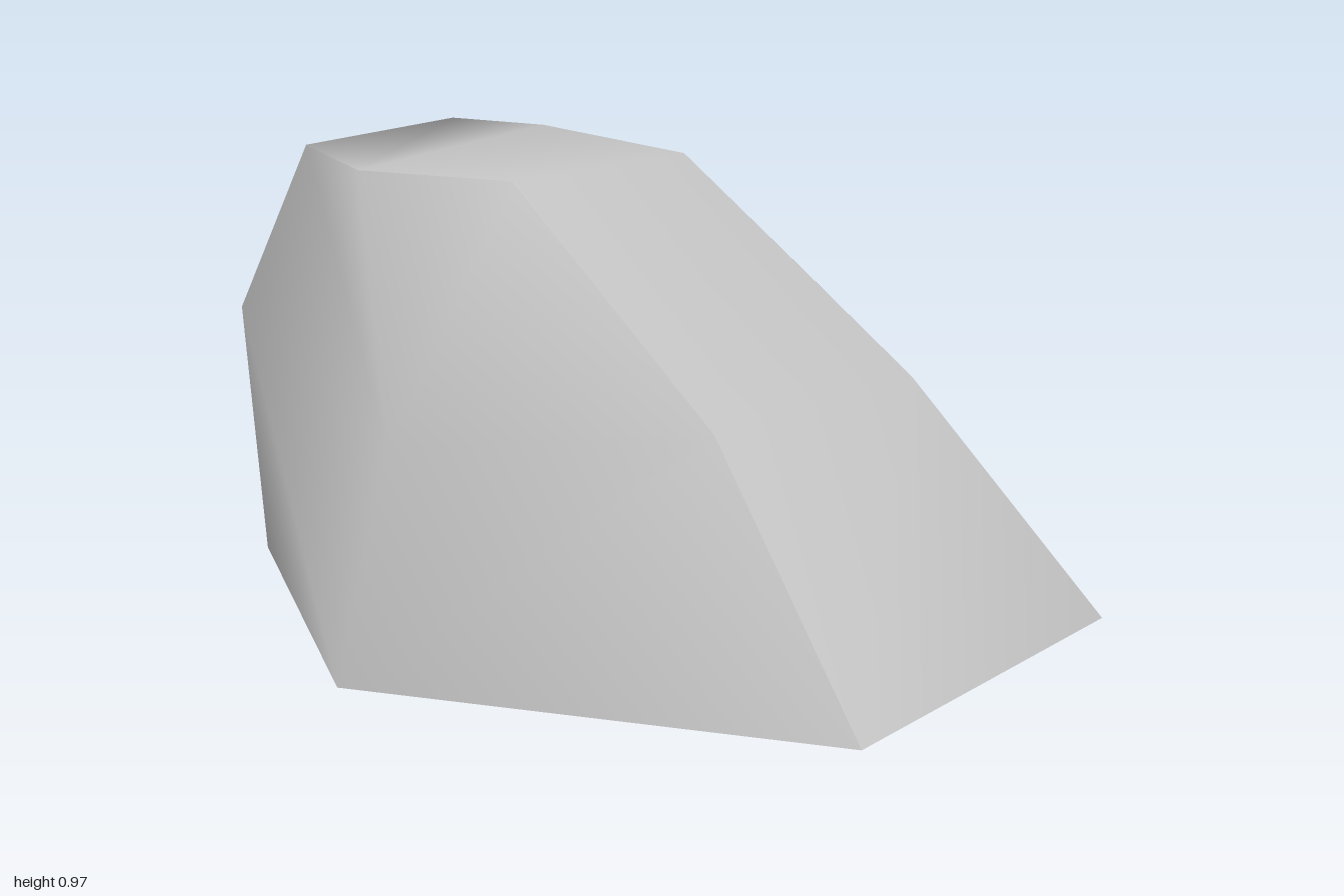
import * as THREE from 'three';

// Corner points of the boulder shell, from the ground ring up to the crown
const P = {
  // ground ring
  frontL: [0.44, 0, 1.0], sideL: [0.94, 0, 0.28], rearL: [0.69, 0, -0.48], backL: [0.42, 0, -0.84],
  backR: [-0.48, 0, -0.78], sideR: [-0.94, 0, 0], frontR: [-0.48, 0, 0.99],
  // middle ring
  midFrontL: [0.4, 0.48, 0.5], midSideL: [0.68, 0.6, 0], midRearL: [0.58, 0.73, -0.52],
  midBack: [-0.35, 0.55, -1.0], midSideR: [-0.72, 0.46, -0.07], midFrontR: [-0.43, 0.54, 0.58],
  // crown
  topFrontL: [0.28, 0.955, -0.09], topL: [0.33, 0.97, -0.6], topBackL: [0.27, 0.97, -0.87],
  topBackR: [-0.29, 0.97, -0.8], topR: [-0.42, 0.96, -0.47], topFrontR: [-0.3, 0.96, -0.1],
};

// Smooth surface from polygons of named corners; corners are shared within one surface
function surface(name, polygons, material) {
  const names = [...new Set(polygons.flat())];
  const index = [];
  for (const poly of polygons) {
    for (let i = 1; i < poly.length - 1; i++) {
      index.push(...[poly[0], poly[i], poly[i + 1]].map((n) => names.indexOf(n)));
    }
  }
  const geometry = new THREE.BufferGeometry();
  geometry.setAttribute('position', new THREE.Float32BufferAttribute(names.flatMap((n) => P[n]), 3));
  geometry.setIndex(index);
  geometry.computeVertexNormals();
  const mesh = new THREE.Mesh(geometry, material);
  mesh.name = name;
  return mesh;
}

export function createModel() {
  const group = new THREE.Group();
  group.name = 'boulder';
  const stone = new THREE.MeshStandardMaterial({ color: 0xc4c4c4, side: THREE.DoubleSide });
  stone.name = 'grey stone';

  // Rounded front, left, back and crown, open underneath
  group.add(surface('roundedBody', [
    ['frontR', 'frontL', 'midFrontL', 'midFrontR'],
    ['midFrontR', 'midFrontL', 'topFrontL', 'topFrontR'],
    ['frontL', 'sideL', 'midSideL', 'midFrontL'],
    ['midFrontL', 'midSideL', 'topFrontL'],
    ['sideL', 'rearL', 'midRearL', 'midSideL'],
    ['midSideL', 'midRearL', 'topL', 'topFrontL'],
    ['topFrontR', 'topFrontL', 'topL', 'topR'],
    ['topR', 'topL', 'topBackL', 'topBackR'],
    ['midRearL', 'topBackL', 'topL'],
    ['rearL', 'backL', 'topBackL', 'midRearL'],
    ['backL', 'backR', 'midBack', 'topBackL'],
    ['topBackL', 'midBack', 'topBackR'],
  ], stone));

  // Cleaved right side, separated from the body by a sharp edge
  group.add(surface('cleavedSide', [
    ['sideR', 'frontR', 'midFrontR', 'midSideR'],
    ['midSideR', 'midFrontR', 'topFrontR'],
    ['midSideR', 'topFrontR', 'topR'],
    ['midSideR', 'topR', 'topBackR'],
    ['midSideR', 'topBackR', 'midBack'],
    ['sideR', 'midSideR', 'midBack'],
    ['backR', 'sideR', 'midBack'],
  ], stone));

  return group;
}
